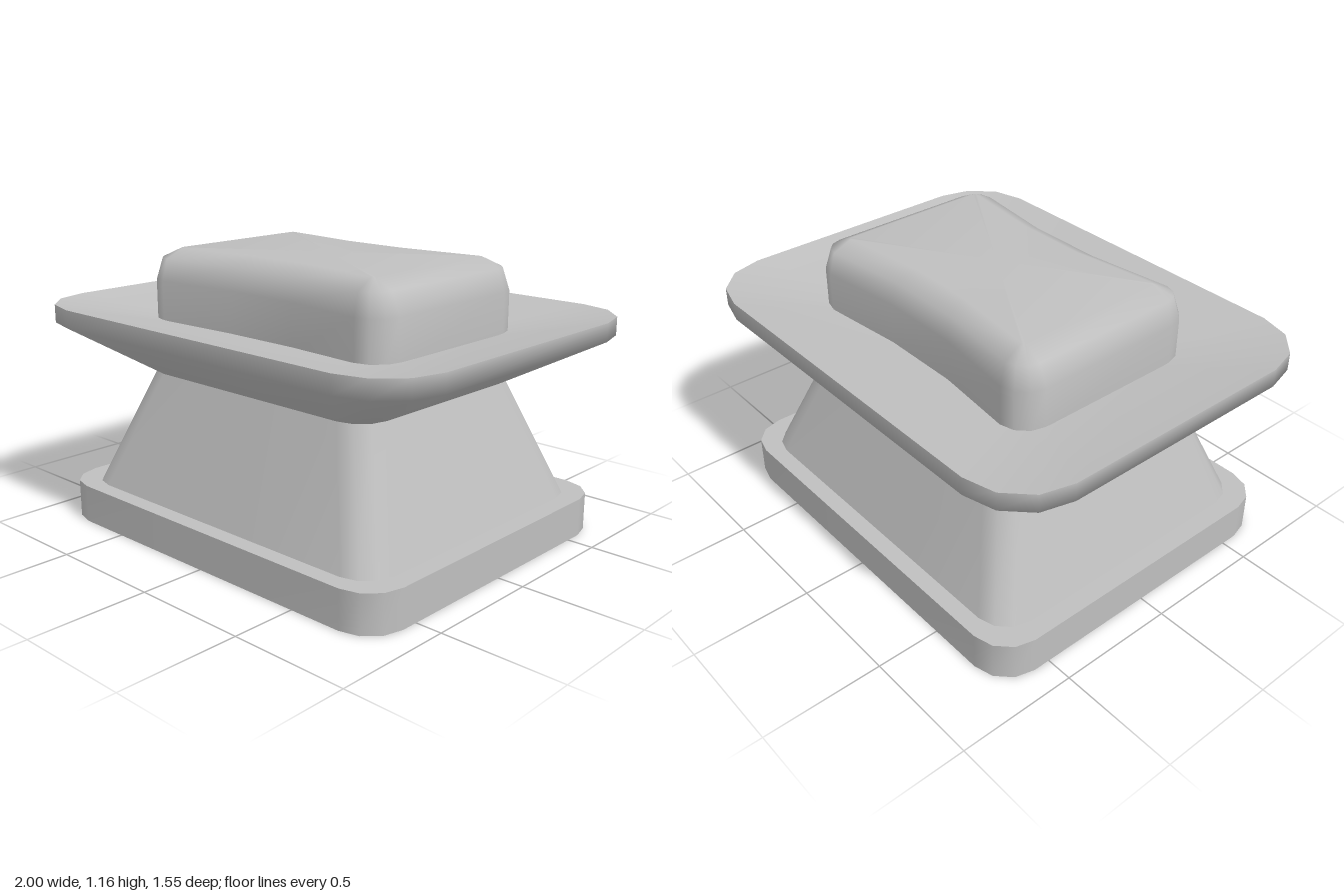
import * as THREE from 'three';

// Rounded rectangle ring at height y; waist pulls in the middle of the long sides
function ring(hx, hz, r, y, waist = 0) {
  const pts = [];
  const corners = [[1, 1, 0], [-1, 1, 1], [-1, -1, 2], [1, -1, 3]];
  for (const [sx, sz, q] of corners) {
    for (let i = 0; i <= 3; i++) {
      const a = (q + i / 3) * Math.PI / 2;
      pts.push([sx * (hx - r) + r * Math.cos(a), y, sz * (hz - r) + r * Math.sin(a)]);
    }
    // two middle points on the front and back sides
    if (q % 2 === 0) for (const k of [1, -1]) pts.push([sx * k * hx * 0.27, y, sz * (hz - waist)]);
  }
  return pts;
}

// Centre point ring, closes a cap
const centre = (y) => ring(0, 0, 0, y);

// Smooth skin through a list of rings
function loft(name, rings, material) {
  const n = rings[0].length, index = [];
  for (let j = 0; j < rings.length - 1; j++) {
    for (let i = 0; i < n; i++) {
      const a = j * n + i, b = j * n + (i + 1) % n, c = a + n, d = b + n;
      index.push(a, c, b, b, c, d);
    }
  }
  const geo = new THREE.BufferGeometry();
  geo.setAttribute('position', new THREE.Float32BufferAttribute(rings.flat(2), 3));
  geo.setIndex(index);
  geo.computeVertexNormals();
  const mesh = new THREE.Mesh(geo, material);
  mesh.name = name;
  return mesh;
}

export function createModel() {
  const grey = new THREE.MeshStandardMaterial({ color: 0xbfbfbf });
  grey.name = 'lightGrey';
  const model = new THREE.Group();
  model.name = 'pedestalDish';

  // Base slab: separate skins keep its edges sharp
  const base = new THREE.Group();
  base.name = 'base';
  const slab = (y) => ring(0.89, 0.73, 0.16, y);
  base.add(
    loft('baseSide', [slab(0), slab(0.16)], grey),
    loft('baseBottom', [centre(0), slab(0)], grey),
    loft('baseTop', [slab(0.16), centre(0.16)], grey),
  );

  // Tapered pedestal
  const pedestal = loft('pedestal', [ring(0.81, 0.66, 0.14, 0.16), ring(0.62, 0.48, 0.13, 0.65)], grey);

  // Flared dish with a shallow hollow
  const dish = new THREE.Group();
  dish.name = 'dish';
  const rim = (y) => ring(1, 0.775, 0.265, y);
  dish.add(
    loft('dishOuter', [ring(0.62, 0.48, 0.13, 0.65), rim(0.855), rim(0.93)], grey),
    loft('dishHollow', [rim(0.93), ring(0.6, 0.38, 0.12, 0.855), centre(0.855)], grey),
  );

  // Waisted block with softened top edges
  const block = loft('block', [
    ring(0.645, 0.435, 0.115, 0.84, 0.045),
    ring(0.645, 0.435, 0.115, 1.03, 0.045),
    ring(0.612, 0.41, 0.085, 1.12, 0.045),
    ring(0.53, 0.33, 0.01, 1.16, 0.045),
    centre(1.16),
  ], grey);

  model.add(base, pedestal, dish, block);
  return model;
}
